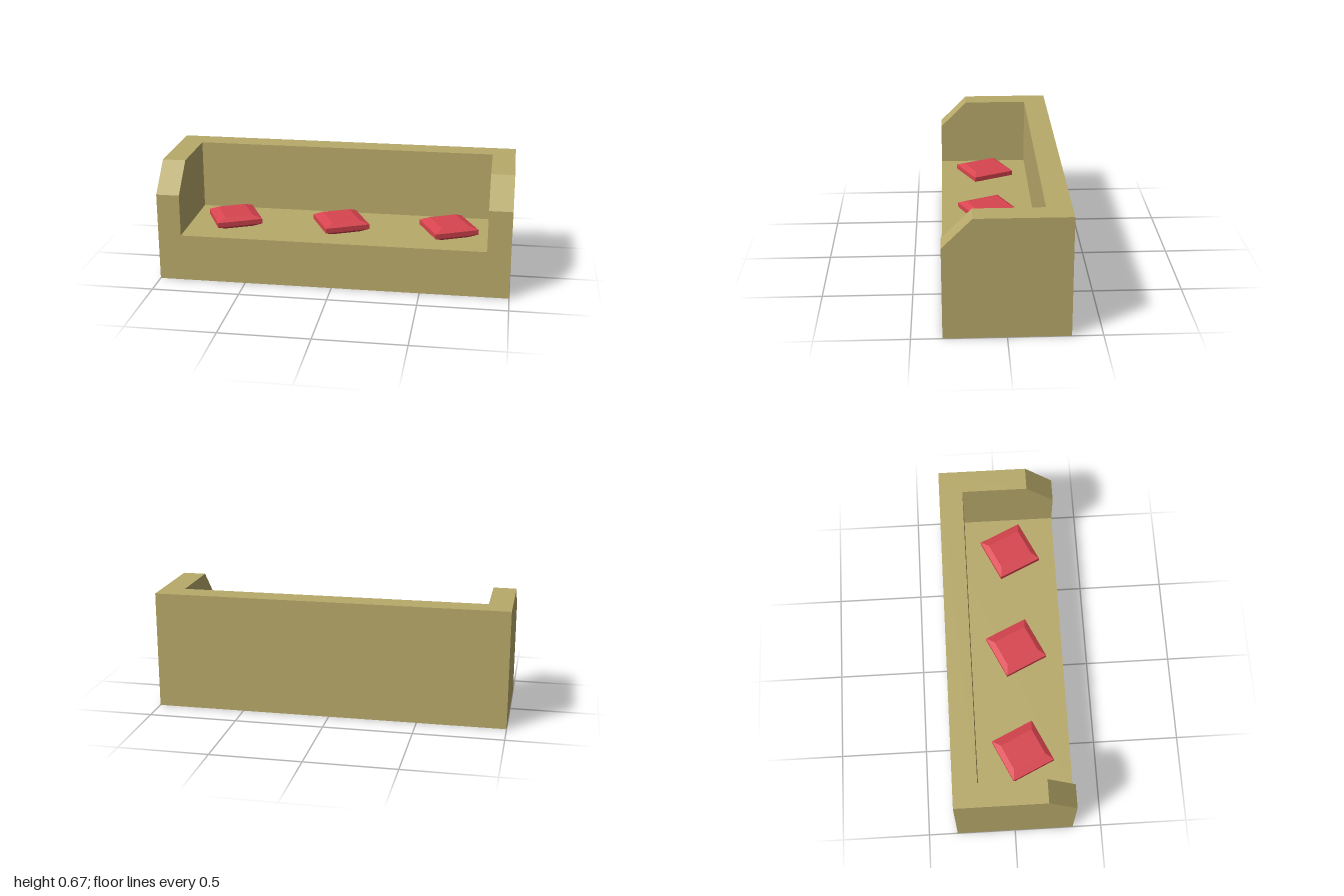
import * as THREE from 'three';

const fabric = new THREE.MeshStandardMaterial({ color: 0xb8aa6a, flatShading: true });
const red = new THREE.MeshStandardMaterial({ color: 0xd8454f, flatShading: true });

const W = 1, D = 0.335, H = 0.67;            // half width, half depth, height
const INNER = 0.868, SEAT = 0.27, BACK = -0.2; // inside of arms, seat top, back front

function add(group, name, geometry, material, x = 0, y = 0, z = 0) {
  const mesh = new THREE.Mesh(geometry, material);
  mesh.name = name;
  mesh.position.set(x, y, z);
  group.add(mesh);
  return mesh;
}

// Side panel with a chamfered upper front corner, extruded along x
function armGeometry() {
  const shape = new THREE.Shape([
    [-D, 0], [D, 0], [D, 0.51], [0.175, H], [-D, H],
  ].map(([z, y]) => new THREE.Vector2(-z, y)));
  const geometry = new THREE.ExtrudeGeometry(shape, { depth: W - INNER, bevelEnabled: false });
  return geometry.rotateY(Math.PI / 2);
}

// Square pillow: a box with bevelled top and bottom
function cushionGeometry() {
  const geometry = new THREE.BoxGeometry(0.26, 0.068, 0.26, 1, 3, 1);
  const p = geometry.attributes.position;
  for (let i = 0; i < p.count; i++) {
    if (Math.abs(p.getY(i)) > 0.03) {
      p.setX(i, Math.sign(p.getX(i)) * 0.08);
      p.setZ(i, Math.sign(p.getZ(i)) * 0.1);
    } else {
      p.setY(i, Math.sign(p.getY(i)) * 0.014);
    }
  }
  const flat = geometry.toNonIndexed();
  flat.computeVertexNormals();
  return flat;
}

export function createModel() {
  const sofa = new THREE.Group();
  sofa.name = 'sofa';

  // Seat and backrest between the arms
  add(sofa, 'seat', new THREE.BoxGeometry(2 * INNER, SEAT, 2 * D), fabric, 0, SEAT / 2, 0);
  add(sofa, 'backrest', new THREE.BoxGeometry(2 * INNER, H - SEAT, BACK + D), fabric,
    0, (H + SEAT) / 2, (BACK - D) / 2);

  // Arms
  const arm = armGeometry();
  add(sofa, 'rightArm', arm, fabric, -W);
  add(sofa, 'leftArm', arm, fabric, INNER);

  // Three turned cushions on the seat
  const cushion = cushionGeometry();
  for (const x of [-0.61, 0.017, 0.64]) {
    add(sofa, 'cushion', cushion, red, x, 0.306, 0.065).rotation.y = 0.44;
  }
  return sofa;
}
